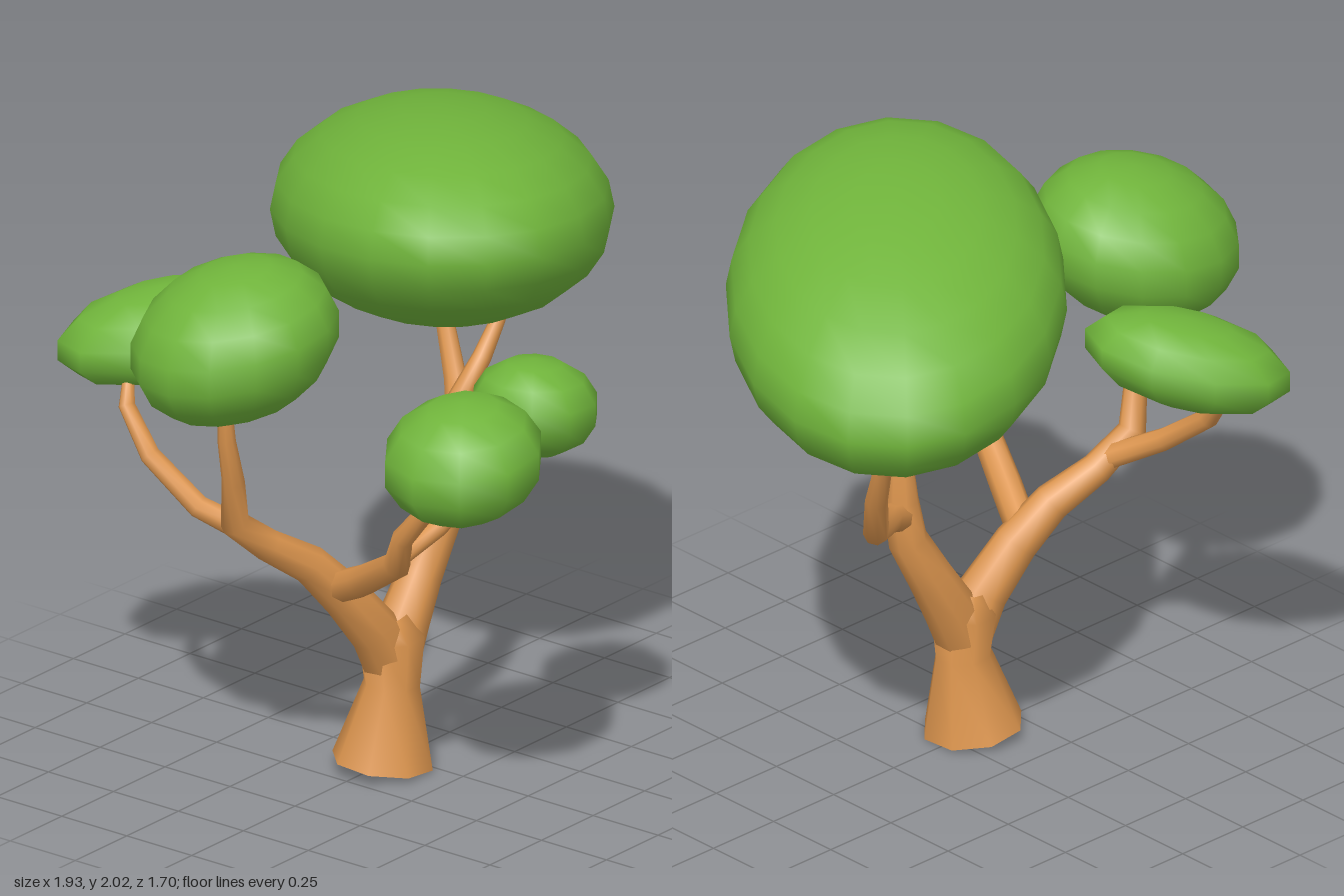
import * as THREE from 'three';

const bark = new THREE.MeshStandardMaterial({ color: 0xdc954e, roughness: 0.9 });
const leaf = new THREE.MeshStandardMaterial({ color: 0x70b43b, roughness: 0.9 });

// Tapered limb: rings of the given radius swept along a path of [x, y, z, radius]
function limbGeometry(path, sides = 8) {
  const pts = path.map(p => new THREE.Vector3(p[0], p[1], p[2]));
  const pos = [], index = [];
  const u = new THREE.Vector3(1, 0, 0);
  pts.forEach((p, i) => {
    const before = pts[Math.max(i - 1, 0)], after = pts[Math.min(i + 1, pts.length - 1)];
    const t = after.clone().sub(before).normalize();
    u.addScaledVector(t, -u.dot(t)).normalize();
    const v = t.clone().cross(u);
    for (let j = 0; j < sides; j++) {
      const a = (j + 0.5) / sides * Math.PI * 2, r = path[i][3];
      const q = p.clone().addScaledVector(u, Math.cos(a) * r).addScaledVector(v, Math.sin(a) * r);
      pos.push(q.x, q.y, q.z);
      if (i < pts.length - 1) {
        const k = i * sides, n = (j + 1) % sides;
        index.push(k + j, k + n, k + sides + j, k + n, k + sides + n, k + sides + j);
      }
    }
  });
  const g = new THREE.BufferGeometry();
  g.setAttribute('position', new THREE.Float32BufferAttribute(pos, 3));
  g.setIndex(index);
  g.computeVertexNormals();
  return g;
}

// Leaf clump: a sphere stretched along three leaning axes
function clumpGeometry(center, xAxis, height, zAxis, segments) {
  const m = new THREE.Matrix4().makeBasis(
    new THREE.Vector3(...xAxis), new THREE.Vector3(0, height, 0), new THREE.Vector3(...zAxis));
  m.setPosition(...center);
  return new THREE.SphereGeometry(1, segments, Math.round(segments * 0.65)).applyMatrix4(m);
}

export function createModel() {
  const tree = new THREE.Group();
  tree.name = 'tree';
  const add = (name, geometry, material) => {
    const mesh = new THREE.Mesh(geometry, material);
    mesh.name = name;
    tree.add(mesh);
    return mesh;
  };

  // Trunk and branches, each starting inside its parent
  const limbs = {
    trunk: [[-0.088, 0, 0.01, 0.158], [-0.062, 0.25, 0.025, 0.088], [-0.06, 0.4, 0.02, 0.105],
      [-0.07, 0.47, 0.015, 0.06]],
    leftLimb: [[-0.06, 0.3, 0.02, 0.085], [0.0, 0.43, 0.02, 0.082], [0.075, 0.56, 0.025, 0.07],
      [0.155, 0.71, 0.04, 0.062], [0.178, 0.85, 0.045, 0.056], [0.168, 0.97, 0.06, 0.042],
      [0.185, 1.1, 0.08, 0.036], [0.28, 1.22, 0.1, 0.03], [0.35, 1.33, 0.11, 0.023], [0.38, 1.42, 0.11, 0.015]],
    leftSideBranch: [[0.16, 0.79, 0.045, 0.045], [0.27, 0.84, 0, 0.045], [0.4, 0.87, -0.08, 0.04],
      [0.465, 1.03, -0.15, 0.035], [0.51, 1.2, -0.23, 0.028], [0.505, 1.32, -0.29, 0.02]],
    rightLimb: [[-0.06, 0.3, 0.02, 0.085], [-0.13, 0.44, 0.01, 0.08], [-0.24, 0.58, -0.02, 0.07],
      [-0.34, 0.7, -0.07, 0.06], [-0.47, 0.79, -0.13, 0.05], [-0.59, 0.89, -0.16, 0.045],
      [-0.635, 1.05, -0.13, 0.035], [-0.68, 1.2, -0.12, 0.028], [-0.69, 1.36, -0.12, 0.018]],
    backBranch: [[-0.5, 0.82, -0.14, 0.04], [-0.59, 0.91, -0.3, 0.036], [-0.61, 1.04, -0.47, 0.032],
      [-0.61, 1.18, -0.56, 0.026], [-0.56, 1.28, -0.59, 0.016]],
    frontBranch: [[-0.26, 0.61, -0.03, 0.05], [-0.33, 0.69, 0.12, 0.05], [-0.41, 0.82, 0.32, 0.044],
      [-0.445, 0.93, 0.37, 0.034], [-0.46, 1.08, 0.5, 0.027], [-0.46, 1.16, 0.57, 0.018]],
    frontSideBranch: [[-0.42, 0.85, 0.33, 0.034], [-0.25, 0.9, 0.35, 0.032], [-0.12, 1.02, 0.41, 0.028],
      [-0.06, 1.14, 0.47, 0.023], [-0.05, 1.24, 0.53, 0.016]],
  };
  for (const [name, path] of Object.entries(limbs)) add(name, limbGeometry(path), bark);

  // Underside of the trunk
  const base = add('trunkBase', new THREE.CircleGeometry(0.158, 8, Math.PI / 8), bark);
  base.rotation.x = Math.PI / 2;
  base.position.set(-0.088, 0, 0.01);

  // Leaf clumps
  add('mainCanopy', clumpGeometry([0.32, 1.645, -0.085], [0.645, -0.097, -0.234], 0.338, [0, 0.062, 0.605], 18), leaf);
  add('rightClump', clumpGeometry([-0.64, 1.515, -0.12], [0.328, 0.04, 0], 0.243, [0, 0.032, 0.313], 14), leaf);
  add('backClump', clumpGeometry([-0.415, 1.355, -0.585], [0.26, 0.055, 0.11], 0.145, [0, 0.028, 0.256], 10), leaf);
  add('frontClump', clumpGeometry([-0.46, 1.255, 0.615], [0.25, 0.03, 0], 0.188, [0, 0, 0.25], 10), leaf);
  add('frontSmallClump', clumpGeometry([-0.05, 1.285, 0.565], [0.2, -0.015, 0], 0.155, [0, 0, 0.2], 10), leaf);
  return tree;
}
